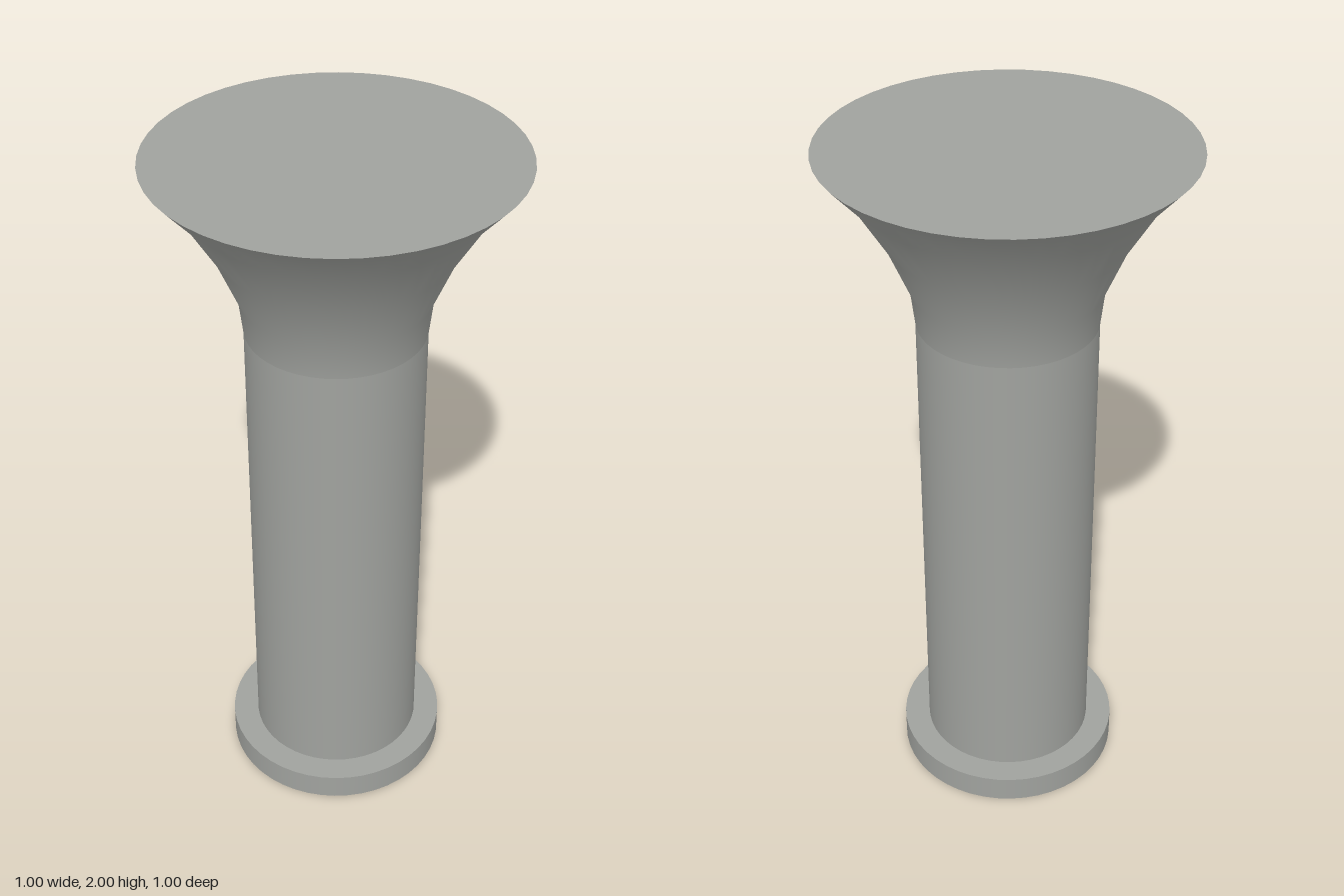
import * as THREE from 'three';

const SEGMENTS = 48;

export function createModel() {
  const group = new THREE.Group();
  group.name = 'column';
  const stone = new THREE.MeshStandardMaterial({ color: 0xa0a29e });
  stone.name = 'grey stone';

  const add = (name, geometry, y = 0) => {
    const mesh = new THREE.Mesh(geometry, stone);
    mesh.name = name;
    mesh.position.y = y;
    group.add(mesh);
  };

  // Flat round foot
  add('base', new THREE.CylinderGeometry(0.323, 0.323, 0.08, SEGMENTS), 0.04);

  // Plain shaft, closed by the base and the capital
  add('shaft', new THREE.CylinderGeometry(0.248, 0.248, 1.42, SEGMENTS, 1, true), 0.79);

  // Flared capital
  const flare = [[0.248, 1.5], [0.26, 1.605], [0.323, 1.755], [0.41, 1.9], [0.498, 2]];
  add('capital', new THREE.LatheGeometry(flare.map(([r, y]) => new THREE.Vector2(r, y)), SEGMENTS));

  // Flat top of the capital
  add('capitalTop', new THREE.CircleGeometry(0.498, SEGMENTS).rotateX(-Math.PI / 2), 2);

  return group;
}
